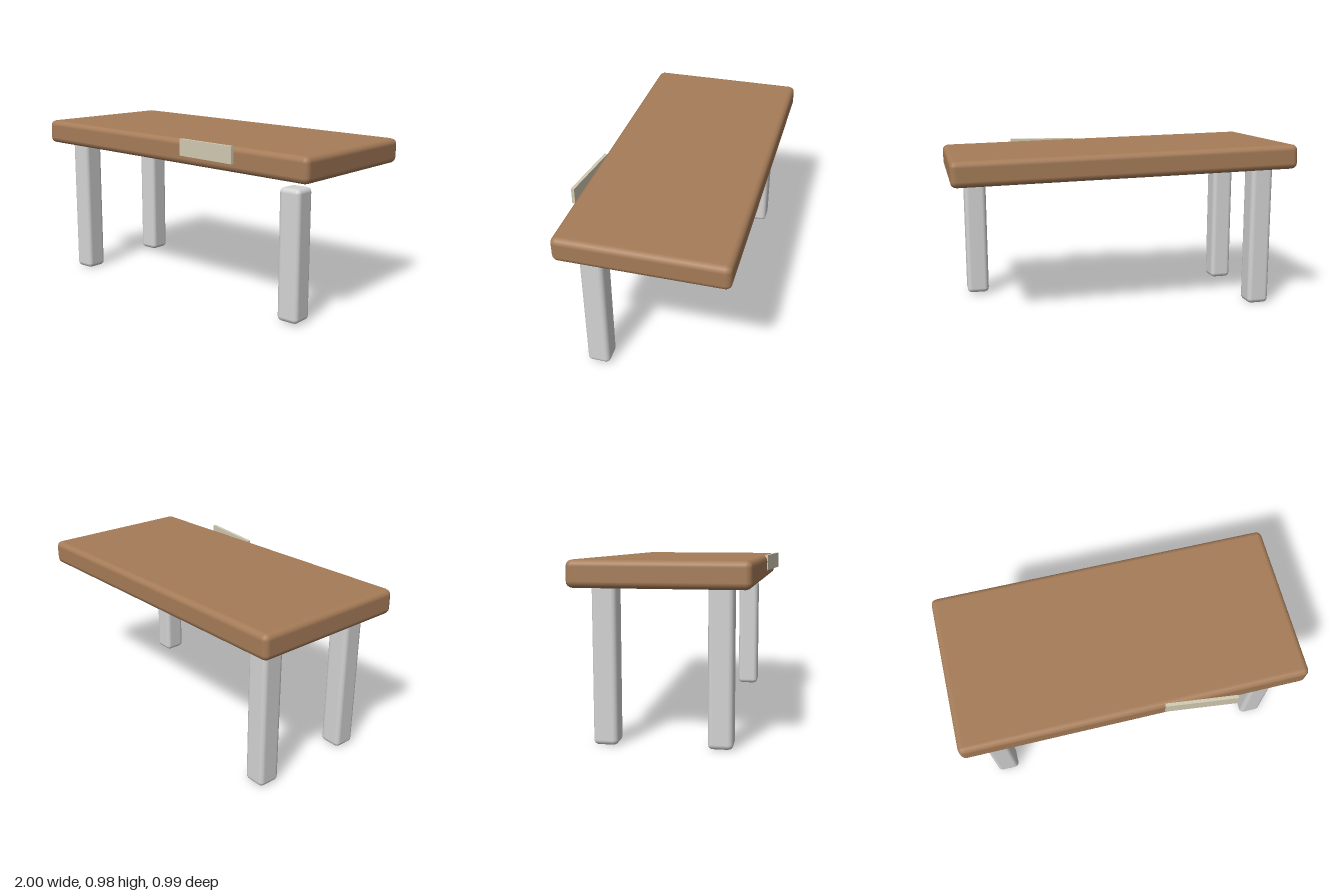
import * as THREE from 'three';
import { RoundedBoxGeometry } from 'three/addons/geometries/RoundedBoxGeometry.js';

const wood = new THREE.MeshStandardMaterial({ name: 'brown wood', color: 0xa67c58 });
const grey = new THREE.MeshStandardMaterial({ name: 'light grey', color: 0xd4d4d4 });
const cream = new THREE.MeshStandardMaterial({ name: 'cream plate', color: 0xd2cab2 });

export function createModel() {
  const group = new THREE.Group();
  const add = (name, geometry, material, x, y, z) => {
    const mesh = new THREE.Mesh(geometry, material);
    mesh.name = name;
    mesh.position.set(x, y, z);
    group.add(mesh);
    return mesh;
  };

  // Thick top, sloping down slightly towards +x
  const top = add('tableTop', new RoundedBoxGeometry(1.997, 0.143, 0.942, 2, 0.034), wood, 0, 0.887, -0.026);
  top.rotation.z = -0.0207;

  // Three legs: the front +x one is short and stops below the top
  const legs = [
    ['frontRightLeg', -0.825, 0.279, 0, 0.86],
    ['backRightLeg', -0.825, -0.327, 0, 0.86],
    ['frontLeftLeg', 0.82, 0.279, 0.01, 0.745],
  ];
  for (const [name, x, z, y0, y1] of legs) {
    add(name, new RoundedBoxGeometry(0.132, y1 - y0, 0.132, 2, 0.027), grey, x, (y0 + y1) / 2, z);
  }

  // Loose plate hanging off the front edge
  const plate = add('frontPlate', new THREE.BoxGeometry(0.407, 0.095, 0.019), cream, 0.358, 0.91, 0.463);
  plate.rotation.y = -0.117;

  return group;
}
